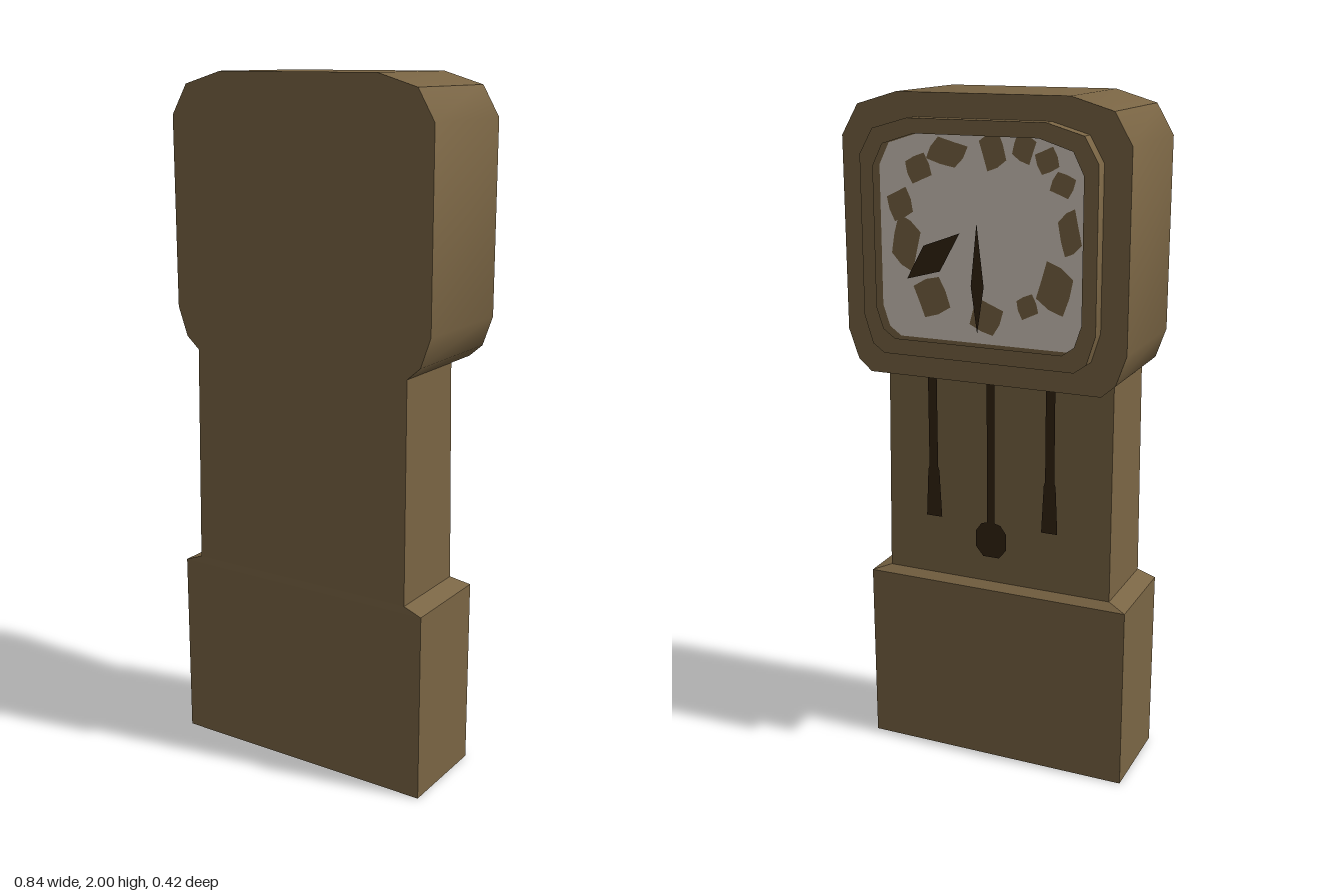
import * as THREE from 'three';
import { toCreasedNormals } from 'three/addons/utils/BufferGeometryUtils.js';

const wood = new THREE.MeshStandardMaterial({ name: 'wood', color: 0x7a6544 });
const ivory = new THREE.MeshStandardMaterial({ name: 'ivory', color: 0xd6cbbf });
const darkMetal = new THREE.MeshStandardMaterial({ name: 'darkMetal', color: 0x322411, side: THREE.DoubleSide });

const toShape = (points) => new THREE.Shape(points.map(([x, y]) => new THREE.Vector2(x, y)));

// Mirrors a half outline (top to bottom, x > 0) into a closed one
const mirrored = (half) => [...half, ...half.map(([x, y]) => [-x, y]).reverse()];

// Prism between two depths, softly shaded around its rounded corners
function prism(shape, zMin, zMax) {
  const geometry = new THREE.ExtrudeGeometry(shape, { depth: zMax - zMin, bevelEnabled: false });
  geometry.translate(0, 0, zMin);
  return toCreasedNormals(geometry, 0.6);
}

// Flat plate facing -z
function plate(points, z) {
  const geometry = new THREE.ShapeGeometry(toShape(points.map(([x, y]) => [-x, y])));
  geometry.rotateY(Math.PI);
  geometry.translate(0, 0, z);
  return geometry;
}

// Faceted loft through rectangular sections [y, halfWidth, zMin, zMax]
function loft(sections) {
  const rings = sections.map(([y, w, a, b]) => [[-w, y, b], [w, y, b], [w, y, a], [-w, y, a]]);
  const positions = [];
  const quad = (a, b, c, d) => positions.push(...a, ...b, ...c, ...a, ...c, ...d);
  for (let i = 0; i < rings.length - 1; i++) {
    for (let k = 0; k < 4; k++) {
      const n = (k + 1) % 4;
      quad(rings[i][k], rings[i][n], rings[i + 1][n], rings[i + 1][k]);
    }
  }
  const bottom = rings[0], top = rings[rings.length - 1];
  quad(bottom[3], bottom[2], bottom[1], bottom[0]);
  quad(...top);
  const geometry = new THREE.BufferGeometry();
  geometry.setAttribute('position', new THREE.Float32BufferAttribute(positions, 3));
  geometry.computeVertexNormals();
  return geometry;
}

export function createModel() {
  const clock = new THREE.Group();
  clock.name = 'longcaseClock';
  const add = (name, geometry, material, parent = clock) => {
    const mesh = new THREE.Mesh(geometry, material);
    mesh.name = name;
    parent.add(mesh);
    return mesh;
  };

  // Plinth with sloped shoulder, and the slightly tapering trunk above it
  add('plinthAndTrunk', loft([
    [0, 0.41, -0.08, 0.21],
    [0.555, 0.41, -0.08, 0.21],
    [0.575, 0.355, -0.058, 0.208],
    [1.217, 0.35, -0.045, 0.2],
  ]), wood);

  // Hood
  const hood = mirrored([[0.25, 2], [0.37, 1.965], [0.42, 1.88], [0.42, 1.335], [0.39, 1.25], [0.35, 1.215]]);
  add('hood', prism(toShape(hood), -0.155, 0.2), wood);

  // Raised frame around the dial
  const rimOuter = mirrored([[0.2, 1.935], [0.305, 1.905], [0.345, 1.835], [0.345, 1.39], [0.32, 1.31], [0.285, 1.285]]);
  const rimInner = mirrored([[0.18, 1.895], [0.275, 1.865], [0.305, 1.805], [0.305, 1.415], [0.285, 1.355], [0.25, 1.33]]);
  const rim = toShape(rimOuter);
  rim.holes.push(toShape(rimInner));
  add('dialFrame', prism(rim, -0.195, -0.155), wood);
  add('dial', plate(rimInner, -0.157), ivory);

  // Irregular hour marks: x, y, width, height
  const marks = new THREE.Group();
  marks.name = 'hourMarks';
  clock.add(marks);
  const wobble = [1, 0.8, 1.08, 0.85, 1.05, 0.75, 1.1, 0.85];
  [
    [0.186, 1.80, 0.075, 0.075], [0.10, 1.845, 0.11, 0.075], [-0.035, 1.855, 0.07, 0.1],
    [-0.124, 1.865, 0.065, 0.075], [-0.19, 1.835, 0.065, 0.065], [-0.234, 1.775, 0.065, 0.065],
    [-0.255, 1.65, 0.06, 0.12], [-0.215, 1.5, 0.1, 0.13], [-0.135, 1.445, 0.06, 0.065],
    [-0.014, 1.405, 0.09, 0.095], [0.15, 1.45, 0.1, 0.11], [0.228, 1.595, 0.085, 0.14],
    [0.243, 1.7, 0.075, 0.085],
  ].forEach(([x, y, w, h], i) => {
    const outline = wobble.map((_, k) => {
      const a = (k + 0.5) * Math.PI / 4;
      const r = 0.56 * wobble[(k + i * 3) % 8];
      return [x + Math.cos(a) * w * r, y + Math.sin(a) * h * r];
    });
    add('hourMark', plate(outline, -0.159), wood, marks);
  });

  // Hands
  add('minuteHand', plate([[-0.01, 1.67], [0.008, 1.5], [-0.01, 1.37], [-0.03, 1.5]], -0.21), darkMetal);
  add('hourHand', plate([[0.04, 1.64], [0.148, 1.6], [0.2, 1.506], [0.1, 1.533]], -0.21), darkMetal);

  // Hanging weights either side, and the pendulum between them
  for (const side of [1, -1]) {
    const weight = mirrored([[0.014, 1.217], [0.014, 0.93], [0.018, 0.92], [0.025, 0.775]]);
    add(side > 0 ? 'leftWeight' : 'rightWeight', plate(weight, -0.1), darkMetal).position.x = side * 0.183;
  }
  add('pendulum', plate(mirrored([
    [0.012, 1.217], [0.012, 0.78], [0.03, 0.775], [0.048, 0.75], [0.048, 0.7], [0.025, 0.672],
  ]), -0.1), darkMetal);

  return clock;
}
